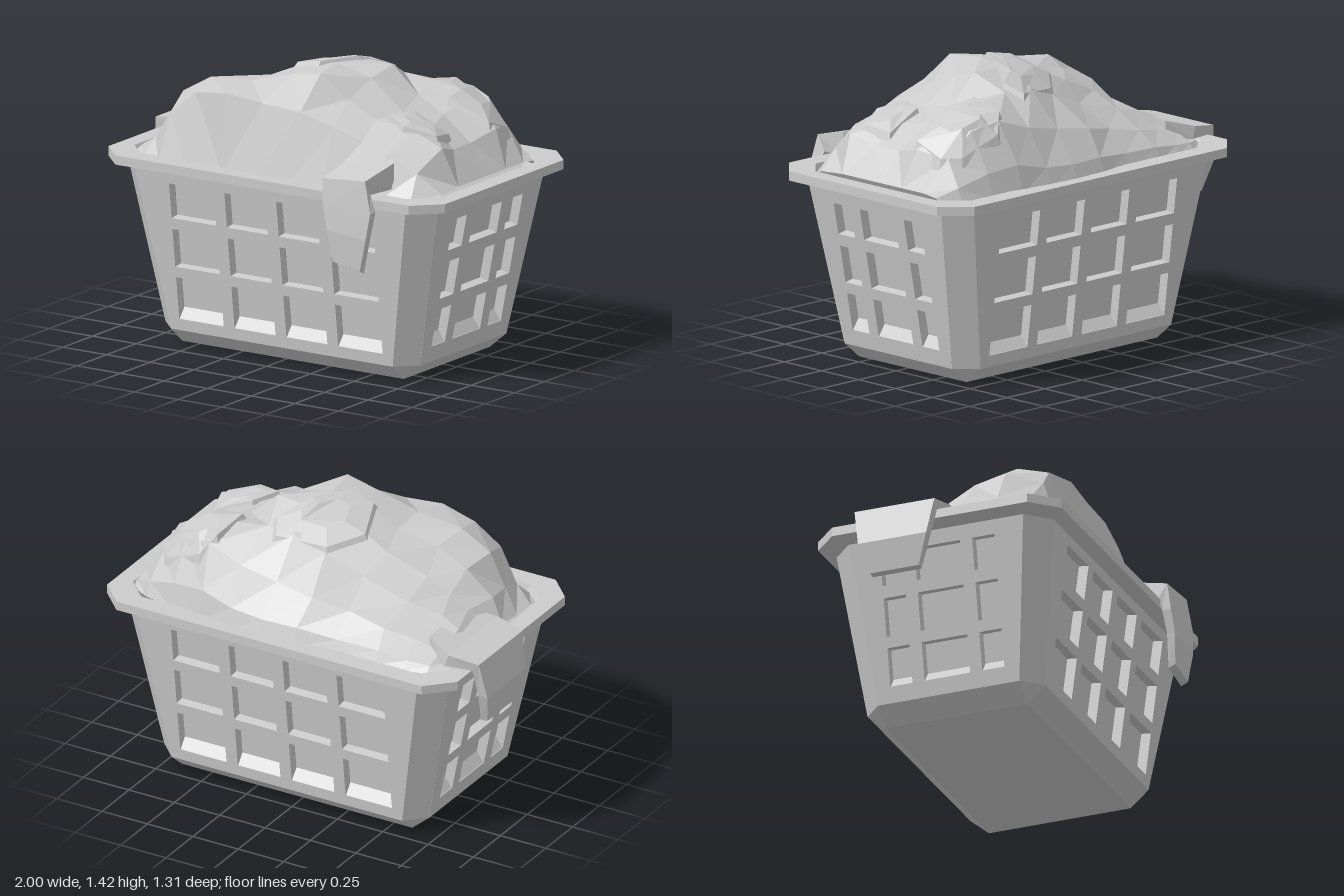
import * as THREE from 'three';

const material = new THREE.MeshStandardMaterial({ color: 0xcccccc, flatShading: true, side: THREE.DoubleSide });
const DEPTH = 0.05; // depth of the wall windows

function mesh(name, geometry) {
  const m = new THREE.Mesh(geometry, material);
  m.name = name;
  return m;
}

function facets(triangles) {
  const g = new THREE.BufferGeometry();
  g.setAttribute('position', new THREE.Float32BufferAttribute(triangles.flat(2), 3));
  g.computeVertexNormals();
  return g;
}

// Skin between equal closed rings; caps and a filter of sides are optional
function loft(rings, { start = false, end = false, keep = () => true } = {}) {
  const tris = [], n = rings[0].length;
  for (let i = 0; i + 1 < rings.length; i++)
    for (let j = 0; j < n; j++) {
      if (!keep(j)) continue;
      const k = (j + 1) % n, [a, b, d, e] = [rings[i][j], rings[i][k], rings[i + 1][j], rings[i + 1][k]];
      tris.push([a, d, b], [b, d, e]);
    }
  const last = rings[rings.length - 1];
  for (let j = 1; j + 1 < n; j++) {
    if (start) tris.push([rings[0][0], rings[0][j], rings[0][j + 1]]);
    if (end) tris.push([last[0], last[j + 1], last[j]]);
  }
  return facets(tris);
}

// Rectangle with cut corners, even sides are the long ones
function octagon(hx, hz, c, y) {
  return [[hx, c - hz], [hx, hz - c], [hx - c, hz], [c - hx, hz], [-hx, hz - c], [-hx, c - hz], [c - hx, -hz], [hx - c, -hz]]
    .map(([x, z]) => [x, y, z]);
}

// Leaning wall with a grid of windows, standing on y = 0.08
function wall(name, { low, high, lean, out, edge, bars, rows }) {
  const length = Math.hypot(0.79, lean), s = y => (y - 0.08) * length / 0.79;
  const shape = new THREE.Shape([[-low, 0], [low, 0], [high, length], [-high, length]].map(p => new THREE.Vector2(...p)));
  const stops = [-edge, ...bars.flatMap(b => [b - 0.031, b + 0.031]), edge];
  for (const [y0, y1] of rows)
    for (let i = 0; i < stops.length; i += 2) {
      const [l, r, b, t] = [stops[i], stops[i + 1], s(y0), s(y1)];
      shape.holes.push(new THREE.Path([[l, b], [l, t], [r, t], [r, b]].map(p => new THREE.Vector2(...p))));
    }
  const frame = mesh(name + 'Frame', new THREE.ExtrudeGeometry(shape, { depth: DEPTH, bevelEnabled: false }));
  frame.position.z = -DEPTH;
  // Sloping sill behind the bottom windows
  const y = s(rows[0][0]);
  const sill = mesh(name + 'Sill', loft([-edge, edge].map(x =>
    [[x, y, -0.004], [x, y + 0.045, -DEPTH], [x, y, -DEPTH]])));
  const tilt = new THREE.Group();
  tilt.add(frame, sill);
  tilt.rotation.x = Math.atan2(lean, 0.79);
  tilt.position.set(0, 0.08, out);
  const g = new THREE.Group();
  g.name = name;
  g.add(tilt);
  return g;
}

function makeBasket() {
  const g = new THREE.Group();
  g.name = 'basket';
  const foot = octagon(0.73, 0.457, 0.095, 0.08), top = octagon(0.885, 0.557, 0.11, 0.87);
  const lining = octagon(0.835, 0.507, 0.11, 0.87);
  g.add(
    mesh('base', loft([octagon(0.635, 0.363, 0, 0), foot], { start: true })),
    mesh('cornerPosts', loft([foot, top], { keep: j => j % 2 === 1 })),
    mesh('rim', loft([top, octagon(0.965, 0.625, 0.125, 0.89), octagon(0.965, 0.625, 0.125, 0.935),
      octagon(0.875, 0.522, 0.11, 0.935), lining])),
    mesh('lining', loft([lining, octagon(0.68, 0.407, 0.09, 0.08)], { end: true })));
  const long = { low: 0.635, high: 0.775, lean: 0.1, out: 0.457, edge: 0.583, bars: [-0.297, 0, 0.297],
    rows: [[0.137, 0.347], [0.4, 0.59], [0.645, 0.82]] };
  const short = { low: 0.363, high: 0.447, lean: 0.155, out: 0.73, edge: 0.293, bars: [-0.148, 0.148],
    rows: [[0.16, 0.345], [0.4, 0.585], [0.645, 0.8]] };
  ['frontWall', 'leftWall', 'backWall', 'rightWall'].forEach((name, i) => {
    const w = wall(name, i % 2 ? short : long);
    w.rotation.y = i * Math.PI / 2;
    g.add(w);
  });
  g.position.set(0.035, 0, -0.031);
  return g;
}

// Heap of laundry: each column is x, back z, front z, then heights from back to front
const STEPS = [0, 0.03, 0.13, 0.3, 0.45, 0.6, 0.76, 0.92, 1];
const HEAP = [
  [-0.83, -0.45, 0.39, 0.93, 0.94, 0.95, 0.95, 0.95, 0.94, 0.93],
  [-0.74, -0.50, 0.46, 0.94, 0.98, 1.03, 1.05, 1.06, 1.04, 0.99],
  [-0.63, -0.52, 0.49, 0.95, 1.01, 1.07, 1.11, 1.18, 1.20, 1.14],
  [-0.48, -0.54, 0.49, 0.97, 1.04, 1.11, 1.17, 1.25, 1.29, 1.25],
  [-0.26, -0.56, 0.50, 0.98, 1.08, 1.18, 1.26, 1.30, 1.31, 1.28],
  [-0.06, -0.59, 0.52, 1.00, 1.12, 1.26, 1.36, 1.38, 1.37, 1.26],
  [0.13, -0.60, 0.51, 1.00, 1.15, 1.32, 1.40, 1.41, 1.40, 1.25],
  [0.30, -0.59, 0.50, 1.01, 1.19, 1.32, 1.40, 1.36, 1.29, 1.20],
  [0.47, -0.57, 0.49, 1.05, 1.25, 1.30, 1.27, 1.23, 1.22, 1.15],
  [0.64, -0.54, 0.48, 1.03, 1.22, 1.25, 1.20, 1.18, 1.20, 1.11],
  [0.80, -0.50, 0.47, 0.98, 1.10, 1.13, 1.09, 1.09, 1.13, 1.03],
  [0.90, -0.45, 0.42, 0.94, 0.95, 0.95, 0.95, 0.95, 0.95, 0.94]];

function makeHeap() {
  const points = HEAP.map(([x, back, front, ...h], i) => STEPS.map((t, j) => {
    const rim = j < 2 || j === STEPS.length - 1 || i === 0 || i === HEAP.length - 1;
    const shift = rim ? 0 : 0.025;
    return [x + shift * Math.sin(i * 5.1 + j * 2.3), h[j - 1] ?? 0.91,
      THREE.MathUtils.lerp(back, front, t) + shift * 0.5 * Math.sin(i * 2.7 + j * 4.9)];
  }));
  const tris = [];
  for (let i = 0; i + 1 < points.length; i++)
    for (let j = 0; j + 1 < STEPS.length; j++) {
      const [a, b, c, d] = [points[i][j], points[i][j + 1], points[i + 1][j + 1], points[i + 1][j]];
      // Crease along the more level diagonal
      if (Math.abs(a[1] - c[1]) < Math.abs(b[1] - d[1])) tris.push([a, b, c], [a, c, d]);
      else tris.push([a, b, d], [b, c, d]);
    }
  return mesh('laundryHeap', facets(tris));
}

// Layer of cloth with an [x, z] outline, laid on the heap
function fold(name, heap, outline, rise) {
  const ray = new THREE.Raycaster(), down = new THREE.Vector3(0, -1, 0);
  const mid = [0, 1].map(k => outline.reduce((s, p) => s + p[k], 0) / outline.length);
  const ring = (scale, lift) => outline.map(p => {
    const [x, z] = p.map((v, k) => mid[k] + (v - mid[k]) * scale);
    ray.set(new THREE.Vector3(x, 3, z), down);
    return [x, ray.intersectObject(heap)[0].point.y + lift, z];
  });
  return mesh(name, loft([ring(1, -0.01), ring(0.9, rise), ring(0.45, rise)], { end: true }));
}

// Hanging cloth: sections of [outer reach, outer y, inner reach, inner y, from, to]
function drape(name, sections, place) {
  return mesh(name, loft(sections.map(([o, y, i, v, from, to]) =>
    [place(o, y, from), place(o, y, to), place(i, v, to), place(i, v, from)]), { start: true, end: true }));
}

export function createModel() {
  const model = new THREE.Group();
  model.name = 'laundryBasket';
  const heap = makeHeap();
  model.add(makeBasket(), heap);
  model.add(
    fold('topFold', heap, [[0.22, -0.33], [0.27, -0.23], [0.16, -0.06], [0.04, 0.13], [-0.12, 0.11],
      [-0.19, -0.1], [-0.05, -0.26]], 0.02),
    fold('backFold', heap, [[0.52, -0.48], [0.74, -0.44], [0.82, -0.36], [0.82, -0.18], [0.6, -0.13],
      [0.42, -0.2], [0.45, -0.42]], 0.03),
    fold('sideFold', heap, [[0.75, 0.04], [0.78, 0.2], [0.62, 0.27], [0.47, 0.2], [0.54, 0.05]], 0.025),
    drape('sideDrape', [
      [-0.68, 1.04, -0.68, 0.96, -0.37, -0.02], [-0.82, 1.0, -0.8, 0.94, -0.43, 0.03],
      [-0.97, 0.975, -0.935, 0.935, -0.40, 0.01], [-1.0, 0.79, -0.95, 0.79, -0.37, -0.02],
      [-0.97, 0.64, -0.935, 0.635, -0.32, -0.07]], (o, y, w) => [o, y, w]),
    drape('frontDrape', [
      [0.37, 1.09, 0.37, 1.0, 0.45, 0.62], [0.43, 1.065, 0.43, 0.95, 0.41, 0.68],
      [0.63, 1.02, 0.585, 0.95, 0.41, 0.65], [0.645, 0.88, 0.6, 0.88, 0.42, 0.69],
      [0.655, 0.76, 0.615, 0.76, 0.445, 0.67], [0.645, 0.605, 0.61, 0.59, 0.475, 0.63]],
      (o, y, w) => [w, y + (y - 0.9) * 0.6 * (w - 0.53), o])); // hem hangs a little askew
  return model;
}
